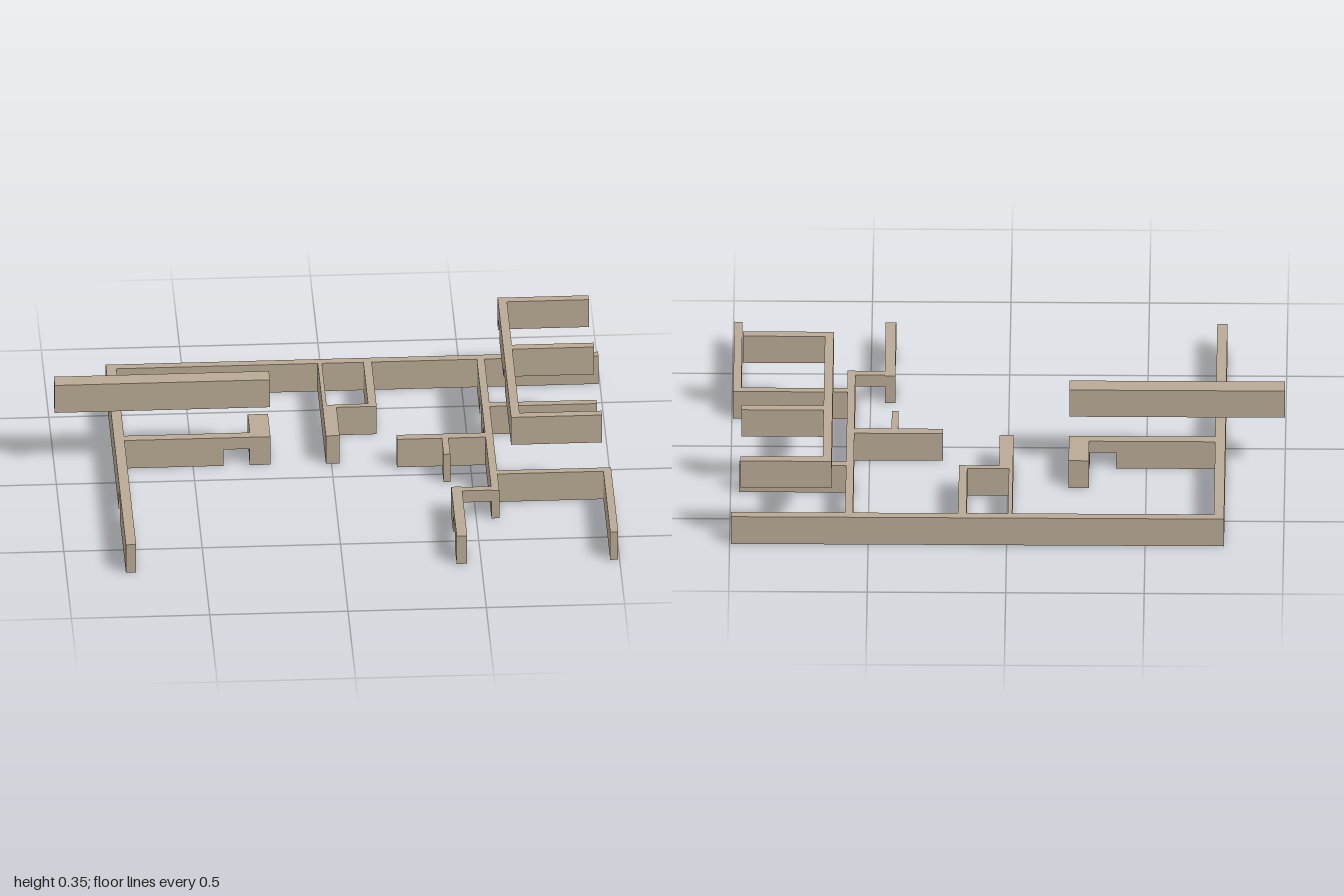
import * as THREE from 'three';

export function createModel() {
  const model = new THREE.Group();
  const plaster = new THREE.MeshStandardMaterial({ color: 0xb9aa94 });
  plaster.name = 'beige plaster';

  // Two storeys of walls: base, top and door head heights
  const LOWER = { y0: 0, y1: 0.115, head: 0.067 };
  const UPPER = { y0: 0.237, y1: 0.35, head: 0.28 };

  function block(group, x0, x1, y0, y1, z0, z1) {
    const mesh = new THREE.Mesh(new THREE.BoxGeometry(x1 - x0, y1 - y0, z1 - z0), plaster);
    mesh.position.set((x0 + x1) / 2, (y0 + y1) / 2, (z0 + z1) / 2);
    mesh.name = group.name + 'Block';
    group.add(mesh);
  }

  // A wall runs along 'x' or 'z' from a to b; doors are [start, end] pairs along the run
  function wall(name, level, axis, a, b, c0, c1, doors = []) {
    const group = new THREE.Group();
    group.name = name;
    const piece = (s, e, y0) => {
      if (e - s < 0.001) return;
      if (axis === 'x') block(group, s, e, y0, level.y1, c0, c1);
      else block(group, c0, c1, y0, level.y1, s, e);
    };
    let at = a;
    for (const [s, e] of doors) {
      piece(at, s, level.y0);
      piece(s, e, level.head);
      at = e;
    }
    piece(at, b, level.y0);
    model.add(group);
  }

  // Outer walls
  wall('backWall', LOWER, 'x', -0.785, 0.995, -0.672, -0.64);
  wall('rightSideWall', LOWER, 'z', -0.64, 0.67, -0.785, -0.748, [[0.19, 0.28]]);
  wall('leftFrontWall', LOWER, 'z', 0.19, 0.67, 0.966, 0.995);
  wall('leftCrossWall', LOWER, 'x', 0.583, 0.966, 0.19, 0.217);

  // Right-hand room with hooked end
  wall('rightRoomWall', LOWER, 'x', -0.748, -0.22, -0.14, -0.105, [[-0.39, -0.295]]);
  wall('rightRoomReturn', LOWER, 'z', -0.275, -0.14, -0.293, -0.22);

  // Small middle room
  wall('middleThinWall', LOWER, 'z', -0.64, -0.33, -0.02, -0.005);
  wall('middleStubWall', LOWER, 'z', -0.33, -0.10, -0.02, 0.03);
  wall('middleFrontWall', LOWER, 'x', 0.03, 0.175, -0.332, -0.31);
  wall('middleSideWall', LOWER, 'z', -0.64, -0.332, 0.145, 0.175);

  // Corridor and the walls that branch from it
  wall('corridorWall', LOWER, 'z', -0.64, 0.338, 0.555, 0.583, [[-0.445, -0.36], [-0.235, -0.145]]);
  wall('corridorBranch', LOWER, 'x', 0.235, 0.555, -0.093, -0.06);
  wall('branchStub', LOWER, 'z', -0.06, 0.06, 0.397, 0.421);
  wall('leftRoomWall', LOWER, 'x', 0.583, 0.97, -0.315, -0.287);
  wall('porchBackWall', LOWER, 'x', 0.449, 0.555, 0.307, 0.335, [[0.449, 0.555]]);
  wall('porchSideWall', LOWER, 'z', 0.303, 0.67, 0.411, 0.449, [[0.43, 0.56]]);

  // Upper storey
  wall('upperLongWall', UPPER, 'x', -1, -0.222, -0.17, -0.105);
  wall('upperCorridorWall', UPPER, 'z', -0.64, 0.19, 0.632, 0.664, [[-0.635, -0.53], [-0.285, -0.185]]);
  for (const [z0, z1] of [[-0.67, -0.638], [-0.317, -0.285], [0.19, 0.222]])
    wall('upperRoomWall', UPPER, 'x', 0.632, 0.96, z0, z1);

  return model;
}
